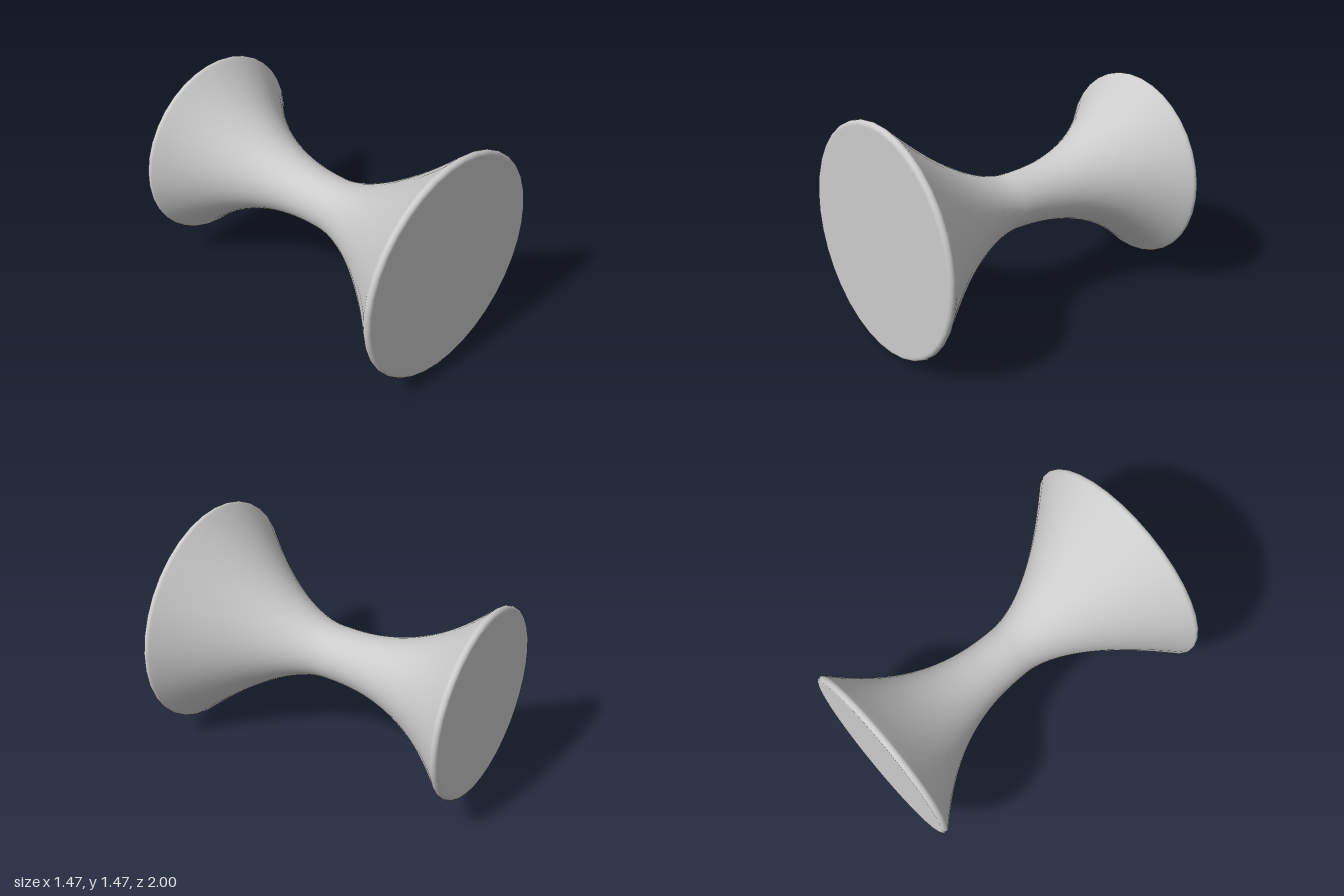
import * as THREE from 'three';

const SIDES = 36;
const FRONT_RADIUS = 0.734, BACK_RADIUS = 0.611, WAIST = 0.176;
const ROUND = 0.025; // rim rounding
const FLAT = 1 / Math.cos(Math.PI / SIDES); // flats, not corners, reach the given radius

// Profile of one half as (radius, z): cap centre, rounded rim, then the flare down to the waist
function halfProfile(radius, dir, p2, p1, p0) {
  const pts = [new THREE.Vector2(0, 1), new THREE.Vector2(radius - ROUND - 0.01, 1)];
  for (let i = 0; i <= 6; i++) {
    const a = (i / 6) * Math.PI * 0.75;
    pts.push(new THREE.Vector2(radius - ROUND + ROUND * Math.sin(a), 1 - ROUND + ROUND * Math.cos(a)));
  }
  const flare = new THREE.CubicBezierCurve(
    pts[pts.length - 1], new THREE.Vector2(...p2), new THREE.Vector2(...p1), new THREE.Vector2(...p0));
  pts.push(...flare.getPoints(24).slice(1));
  return pts.map((p) => new THREE.Vector2(p.x * FLAT, p.y * dir));
}

export function createModel() {
  const group = new THREE.Group();
  group.name = 'spool';

  const back = halfProfile(BACK_RADIUS, -1, [0.33, 0.685], [WAIST, 0.4], [WAIST, 0]);
  const front = halfProfile(FRONT_RADIUS, 1, [0.43, 0.65], [WAIST, 0.3], [WAIST, 0.05]);

  // One turned body, laid along z with flats at top and bottom
  const geometry = new THREE.LatheGeometry([...back, ...front.reverse()], SIDES, Math.PI / SIDES, Math.PI * 2);
  geometry.rotateX(Math.PI / 2);
  const body = new THREE.Mesh(geometry, new THREE.MeshStandardMaterial({ color: 0xcccccc }));
  body.name = 'flaredBody';
  body.position.y = FRONT_RADIUS;
  group.add(body);
  return group;
}
